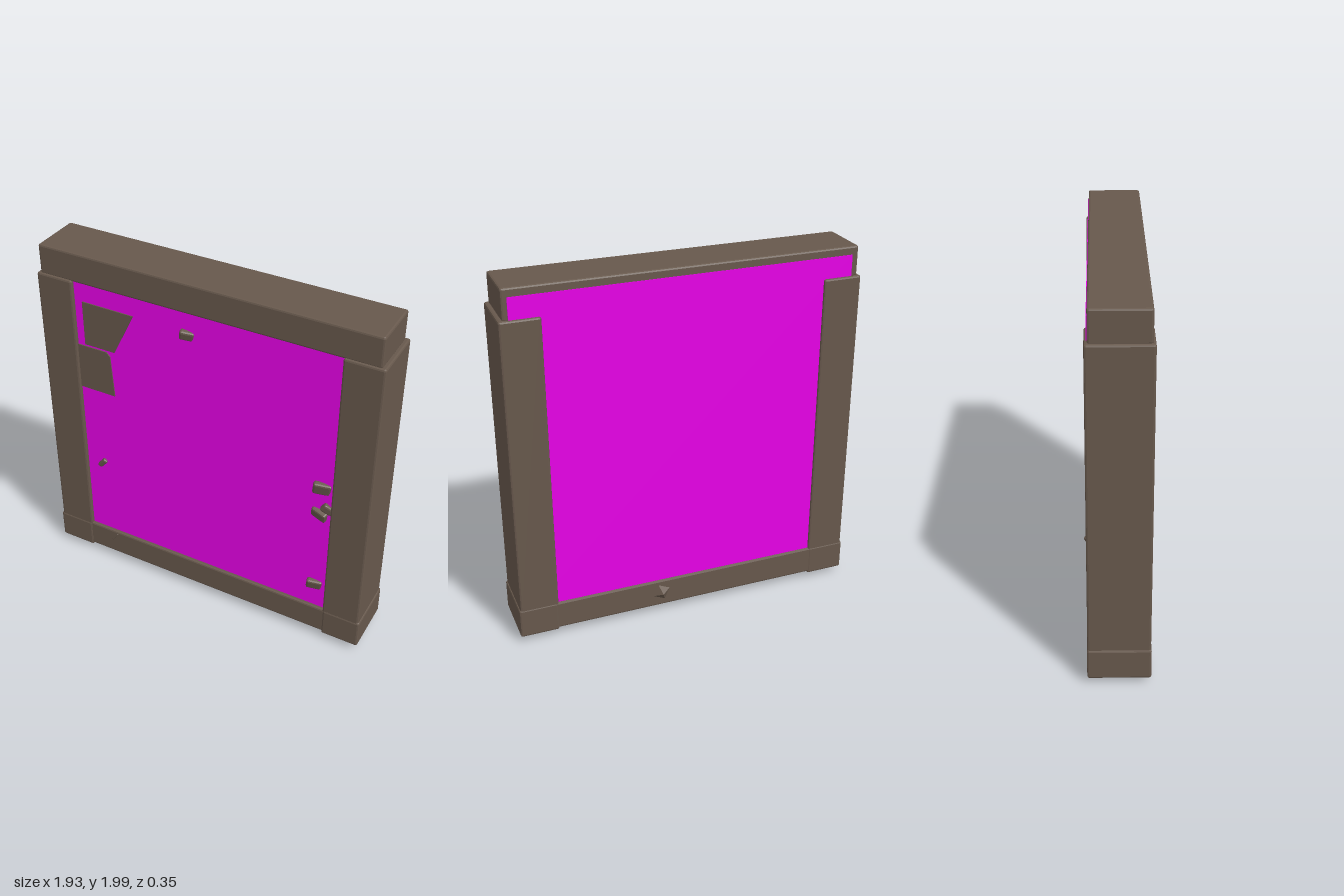
import * as THREE from 'three';
import { RoundedBoxGeometry } from 'three/addons/geometries/RoundedBoxGeometry.js';

const wood = new THREE.MeshStandardMaterial({ name: 'brownFrame', color: 0x67584c, flatShading: true });
const pane = new THREE.MeshStandardMaterial({ name: 'magentaPane', color: 0xf000f0 });

export function createModel() {
  const model = new THREE.Group();
  model.name = 'framedPanel';

  const add = (name, geometry, material) => {
    const mesh = new THREE.Mesh(geometry, material);
    mesh.name = name;
    model.add(mesh);
    return mesh;
  };

  // Box given by its limits, with optional chamfered edges
  const block = (name, [x0, x1], [y0, y1], [z0, z1], material = wood, chamfer = 0.01) => {
    const size = [x1 - x0, y1 - y0, z1 - z0];
    const geometry = chamfer
      ? new RoundedBoxGeometry(...size, 1, chamfer)
      : new THREE.BoxGeometry(...size);
    add(name, geometry, material).position.set((x0 + x1) / 2, (y0 + y1) / 2, (z0 + z1) / 2);
  };

  // Frame: header, sill, and mirrored posts and feet
  block('header', [-0.94, 0.935], [1.835, 2], [-0.13, 0.157]);
  block('sill', [-0.77, 0.77], [0.055, 0.215], [-0.145, 0.167]);
  for (const [side, s] of [['left', 1], ['right', -1]]) {
    const span = (inner, outer) => (s > 0 ? [inner, outer] : [-outer, -inner]);
    block(side + 'Post', span(0.747, 0.957), [0.2, 1.842], [-0.145, 0.169]);
    block(side + 'Foot', span(0.75, 0.964), [0.045, 0.215], [-0.147, 0.172]);
  }

  // Filled pane, with a wider sheet at the back that runs up behind the header
  block('pane', [-0.78, 0.78], [0.19, 1.86], [-0.12, 0.147], pane, 0);
  block('backSheet', [-0.905, 0.905], [0.19, 1.955], [-0.134, -0.12], pane, 0);

  // Flat patches on the front of the pane
  const patches = [
    [[-0.7, 1.475], [-0.52, 1.475], [-0.395, 1.728], [-0.7, 1.73]],
    [[-0.75, 1.195], [-0.535, 1.195], [-0.55, 1.44], [-0.57, 1.462], [-0.75, 1.462]],
  ];
  for (const points of patches) {
    const shape = new THREE.Shape(points.map(([x, y]) => new THREE.Vector2(x, y)));
    const geometry = new THREE.ExtrudeGeometry(shape, { depth: 0.008, bevelEnabled: false });
    add('patch', geometry, wood).position.z = 0.145;
  }

  // Chipped stones: position, size, rotation
  const stones = [
    [[-0.085, 1.71, 0.147], [0.075, 0.055, 0.035], [0.3, 0.3, -0.25]],
    [[0.685, 1.037, 0.147], [0.095, 0.075, 0.035], [0.25, 0.25, -0.15]],
    [[0.68, 0.865, 0.147], [0.09, 0.065, 0.035], [0.25, -0.25, -0.15]],
    [[0.725, 0.915, 0.147], [0.07, 0.05, 0.035], [0.2, 0.3, -0.7]],
    [[0.68, 0.37, 0.147], [0.085, 0.065, 0.035], [0.25, 0.25, -0.15]],
    [[-0.648, 0.7, 0.147], [0.07, 0.03, 0.03], [0.2, 0.2, 0.85]],
    [[-0.588, 0.173, 0.163], [0.065, 0.008, 0.016], [0, 0, 0.95]],
  ];
  for (const [position, size, rotation] of stones) {
    const stone = add('stone', new RoundedBoxGeometry(...size, 1, Math.min(...size) * 0.3), wood);
    stone.position.set(...position);
    stone.rotation.set(...rotation);
  }

  // Pointed chips below the sill and on its back
  const chip = (name, radius, height, position, rotation) => {
    const mesh = add(name, new THREE.ConeGeometry(radius, height, 4), wood);
    mesh.position.set(...position);
    mesh.rotation.set(...rotation);
  };
  chip('underChip', 0.085, 0.052, [-0.24, 0.034, -0.02], [Math.PI, 0, 0]);
  chip('smallUnderChip', 0.03, 0.022, [0.44, 0.052, 0.06], [Math.PI, 0, 0]);
  chip('backChip', 0.058, 0.035, [0.16, 0.14, -0.158], [-Math.PI / 2, 0.35, 0]);

  return model;
}
